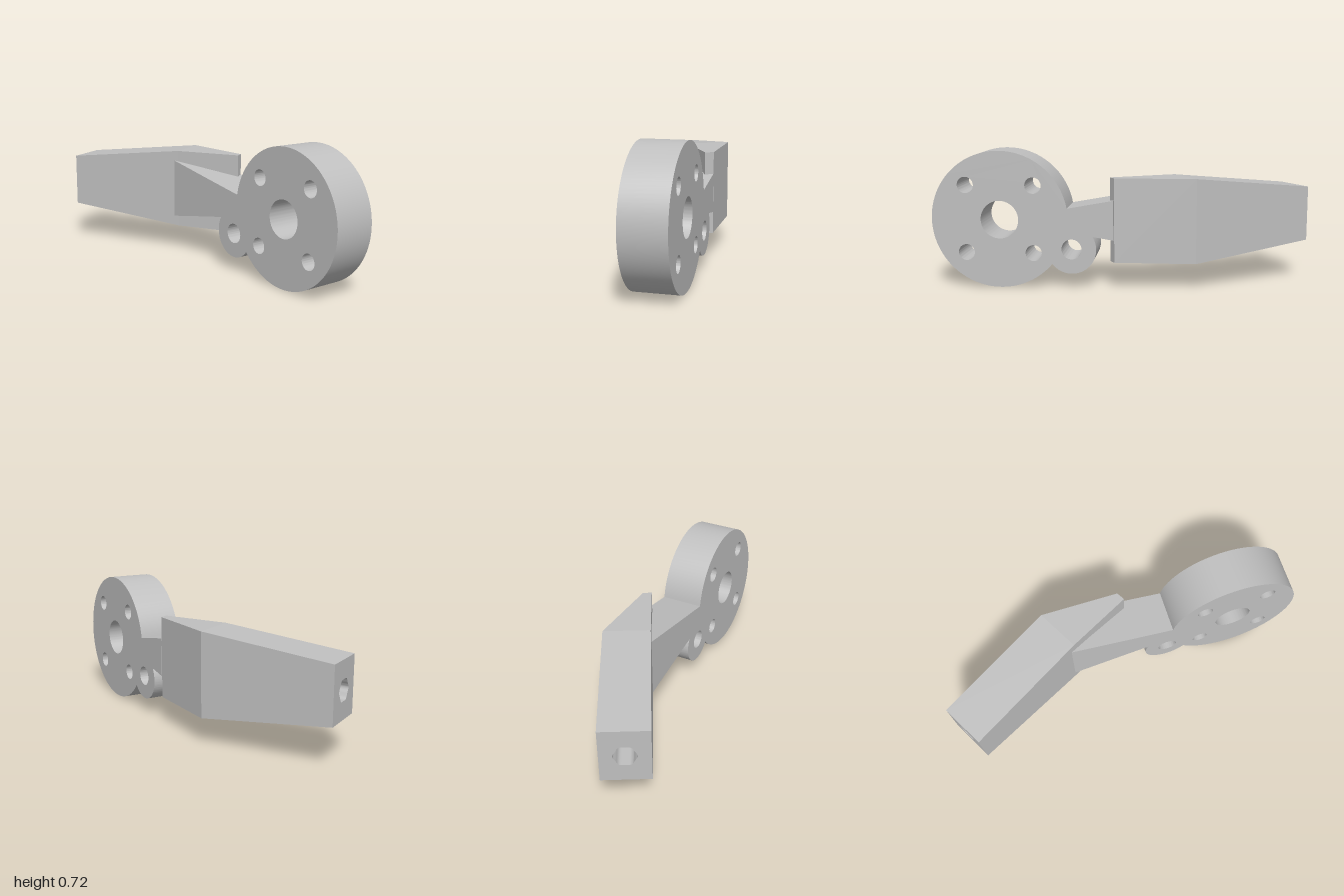
import * as THREE from 'three';
import { mergeGeometries, toCreasedNormals } from 'three/addons/utils/BufferGeometryUtils.js';

const V = (x, y, z) => new THREE.Vector3(x, y, z);

// Flat polygon through 3D corners (counter-clockwise from outside), with an optional hole loop
function face(corners, hole) {
  const o = corners[0];
  const u = corners[1].clone().sub(o).normalize();
  const n = u.clone().cross(corners[2].clone().sub(o)).normalize();
  const v = n.clone().cross(u);
  const flat = (pts) => pts.map((p) => {
    const d = p.clone().sub(o);
    return new THREE.Vector2(d.dot(u), d.dot(v));
  });
  const shape = new THREE.Shape(flat(corners));
  if (hole) shape.holes.push(new THREE.Path(flat(hole)));
  return new THREE.ShapeGeometry(shape)
    .applyMatrix4(new THREE.Matrix4().makeBasis(u, v, n).setPosition(o)).toNonIndexed();
}

// Upright prism from plan corners [x, z, bottom, top]; skip drops an inner wall
function prism(ring, { skip = -1, wallHole = {}, bottomHole } = {}) {
  const low = ring.map(([x, z, b]) => V(x, b, z));
  const high = ring.map(([x, z, , t]) => V(x, t, z));
  const parts = [face(high), face([...low].reverse(), bottomHole)];
  ring.forEach((_, i) => {
    const j = (i + 1) % ring.length;
    if (i !== skip) parts.push(face([low[i], low[j], high[j], high[i]], wallHole[i]));
  });
  return mergeGeometries(parts);
}

// Smooth wall of a bore, seen from inside
function boreWall(a, b) {
  const parts = a.map((_, i) => {
    const j = (i + 1) % a.length;
    return face([a[i], a[j], b[j], b[i]]);
  });
  return toCreasedNormals(mergeGeometries(parts), 0.6);
}

const loop = (count, fn) => Array.from({ length: count }, (_, i) => fn((i / count) * Math.PI * 2));

export function createModel() {
  const group = new THREE.Group();
  const grey = new THREE.MeshStandardMaterial({ color: 0xbfbfbf, side: THREE.DoubleSide });
  const add = (name, geometry) => {
    const mesh = new THREE.Mesh(geometry, grey);
    mesh.name = name;
    group.add(mesh);
  };

  // Hub plate: disc, small lobe and start of the web in one outline (drawn in -z, y)
  const outline = new THREE.Shape();
  outline.moveTo(-0.04, 0.47);
  outline.lineTo(-0.284, 0.426);
  outline.absarc(-0.64, 0.363, 0.362, 0.174, Math.PI * 2 - 0.699, false);
  outline.absarc(-0.26, 0.21, 0.13, -2.481, 0.555, false);
  outline.lineTo(-0.04, 0.26);
  outline.closePath();
  const holes = [[-0.64, 0.363, 0.1], [-0.26, 0.21, 0.053]];
  for (const s of [-1, 1]) for (const t of [-1, 1]) holes.push([-0.64 + s * 0.179, 0.366 + t * 0.179, 0.043]);
  for (const [u, v, r] of holes) {
    outline.holes.push(new THREE.Path().absarc(u, v, r, 0, Math.PI * 2, true));
  }
  const plate = new THREE.ExtrudeGeometry(outline, { depth: 0.232, bevelEnabled: false, curveSegments: 48 });
  plate.rotateY(Math.PI / 2).translate(0.045, 0, 0);
  add('hubPlate', toCreasedNormals(plate, 0.5));

  // Web widening until it meets the arm
  add('web', prism([
    [0.045, 0.04, 0.26, 0.47], [0.23, 0.04, 0.26, 0.47], [0.046, -0.29, 0.2, 0.53],
  ]));

  // Arm root: full height, flush with the plate's outer side
  const [B, T] = [0.143, 0.587];
  add('armRoot', prism([
    [0.235, 0.06, B, T], [0.277, 0.035, B, T], [0.277, -0.39, B, T], [0.06, -0.27, B, T],
  ], { skip: 2 }));

  // Arm tip frame: along runs to the end, across spans the width
  const start = V(0.1685, 0.363, -0.33);
  const along = V(-0.337, 0, -0.61);
  const across = V(0.217, 0, -0.12).normalize();
  const unit = along.clone().normalize();

  // Fluted bore in the end face
  const boreLoop = (t) => loop(48, (a) => {
    const r = 0.056 + 0.003 * Math.cos(6 * a);
    return start.clone().addScaledVector(along, t)
      .addScaledVector(across, r * Math.cos(a)).add(V(0, r * Math.sin(a), 0));
  });
  const mouth = boreLoop(1);
  const floor = boreLoop(0.12);

  // Round cross hole in the sloping underside
  const underLoop = loop(32, (a) => {
    const d = 0.175 + 0.04 * Math.cos(a);
    const p = start.clone().addScaledVector(unit, d).addScaledVector(across, 0.04 * Math.sin(a));
    p.y = B + (0.073 * d) / along.length();
    return p;
  });
  const underTop = underLoop.map((p) => V(p.x, 0.33, p.z));

  // Arm tip: tapers in height to the end face
  add('armTip', prism([
    [0.06, -0.27, B, T], [0.277, -0.39, B, T], [-0.06, -1, 0.216, 0.512], [-0.277, -0.88, 0.216, 0.512],
  ], { skip: 0, wallHole: { 2: mouth }, bottomHole: underLoop }));
  add('endBore', boreWall(mouth, floor));
  add('endBoreFloor', face(floor));
  add('crossHole', boreWall(underLoop, underTop));

  return group;
}
